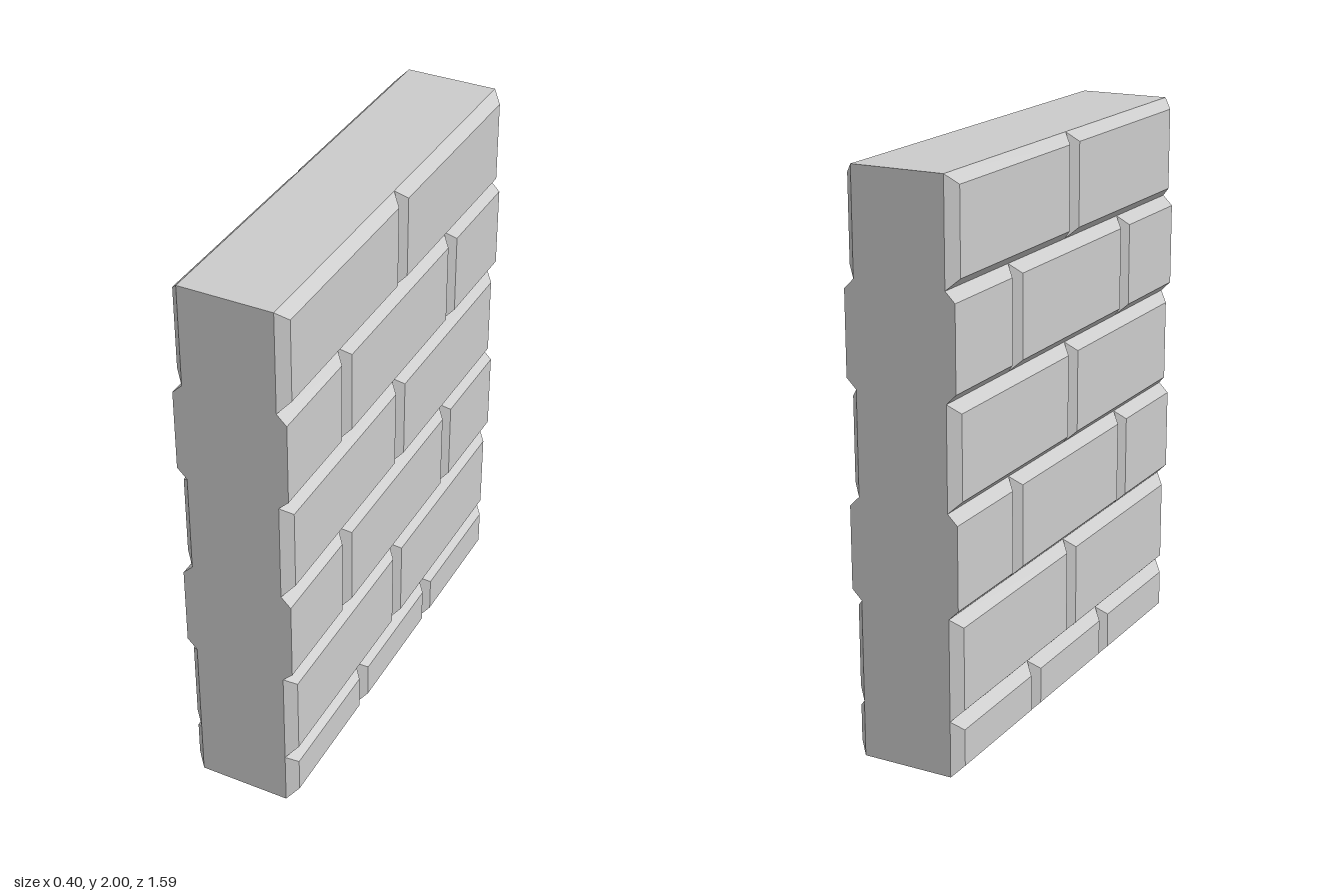
import * as THREE from 'three';

const HALF_LENGTH = 0.795; // along z
const CORE_HALF = 0.164;   // half thickness at the joints
const BEVEL = 0.035;

const material = new THREE.MeshStandardMaterial({ color: 0xcccccc, flatShading: true });

// Box without the chosen faces (order: +x, -x, +y, -y, +z, -z)
function openBox(w, h, d, skip) {
  const box = new THREE.BoxGeometry(w, h, d);
  const index = Array.from(box.index.array);
  box.setIndex(index.filter((_, i) => !skip.includes(Math.floor(i / 6))));
  box.clearGroups();
  return box;
}

// Brick face raised towards +x; ends that meet the wall's end as half bricks stay square
function brickGeometry(y0, y1, z0, z1, bevelStart, bevelEnd) {
  const geo = openBox(BEVEL, y1 - y0, z1 - z0, [1]);
  geo.translate(CORE_HALF + BEVEL / 2, (y0 + y1) / 2, (z0 + z1) / 2);
  const p = geo.attributes.position;
  for (let i = 0; i < p.count; i++) {
    if (p.getX(i) < CORE_HALF + BEVEL / 2) continue;
    const y = p.getY(i), z = p.getZ(i);
    p.setY(i, y > (y0 + y1) / 2 ? y - BEVEL : y + BEVEL);
    if (z > (z0 + z1) / 2) p.setZ(i, bevelEnd ? z - BEVEL : z);
    else p.setZ(i, bevelStart ? z + BEVEL : z);
  }
  const flat = geo.toNonIndexed();
  flat.computeVertexNormals();
  return flat;
}

export function createModel() {
  const wall = new THREE.Group();
  wall.name = 'brickWall';

  // Core: its two broad sides are fully covered by bricks
  const core = new THREE.Mesh(openBox(CORE_HALF * 2, 2, HALF_LENGTH * 2, [0, 1]), material);
  core.name = 'core';
  core.position.y = 1;
  wall.add(core);

  // Courses: short base course, then alternating full and staggered courses
  const L = HALF_LENGTH;
  const courses = [{ y0: 0, y1: 0.2, cuts: [-L, -L / 3, L / 3, L] }];
  for (let i = 0; i < 5; i++) {
    const staggered = i % 2 === 1;
    courses.push({
      y0: 0.2 + i * 0.36,
      y1: 0.2 + (i + 1) * 0.36,
      cuts: staggered ? [-L, -L / 2, L / 2, L] : [-L, 0, L],
      staggered,
    });
  }

  // Same brickwork on both sides
  for (const side of ['left', 'right']) {
    const face = new THREE.Group();
    face.name = side + 'Brickwork';
    if (side === 'right') face.rotation.y = Math.PI;
    courses.forEach(({ y0, y1, cuts, staggered }, row) => {
      for (let i = 0; i < cuts.length - 1; i++) {
        const first = i === 0, last = i === cuts.length - 2;
        const brick = new THREE.Mesh(
          brickGeometry(y0, y1, cuts[i], cuts[i + 1], !(staggered && first), !(staggered && last)),
          material
        );
        brick.name = `brick_${row + 1}_${i + 1}`;
        face.add(brick);
      }
    });
    wall.add(face);
  }
  return wall;
}
